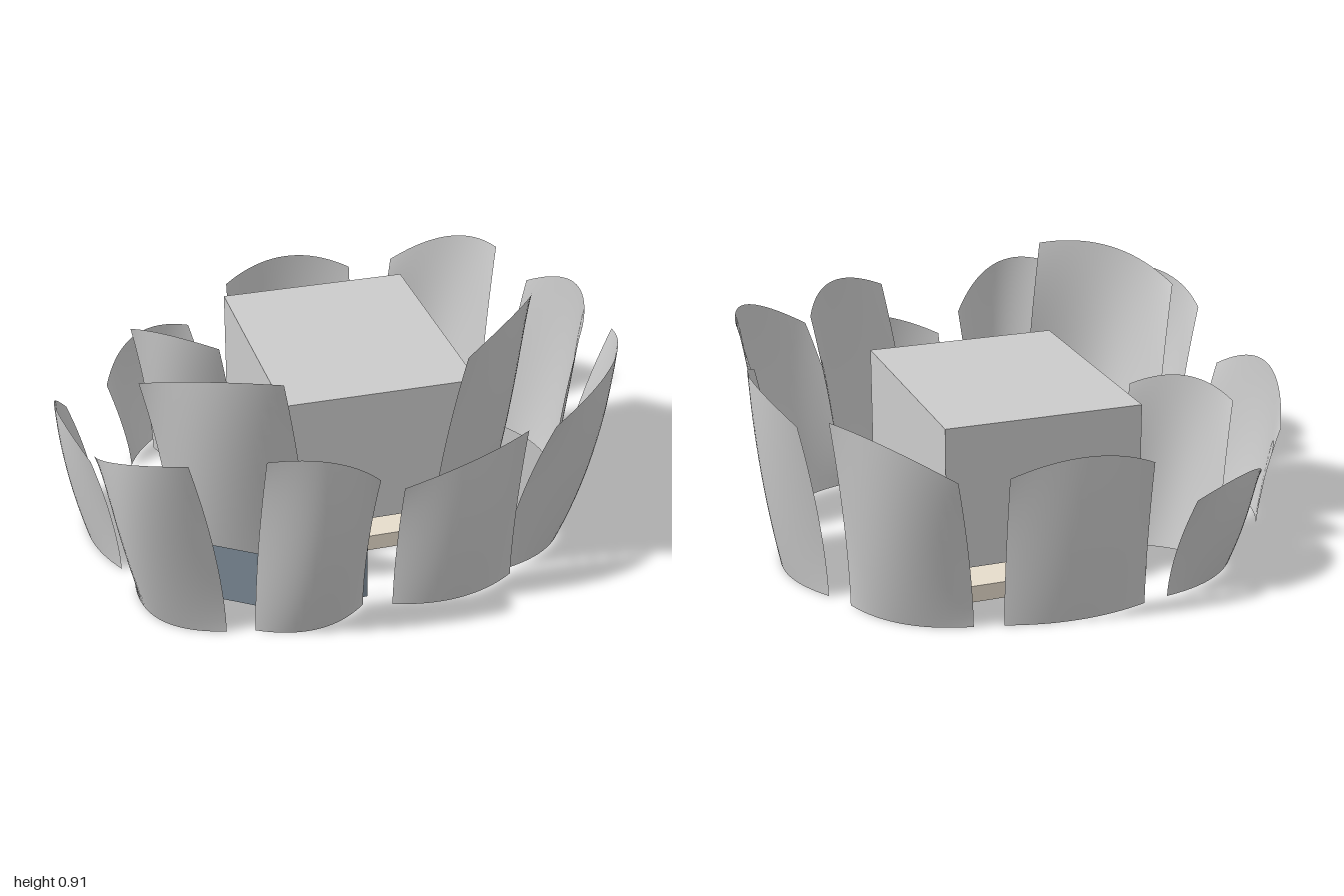
import * as THREE from 'three';
import { ParametricGeometry } from 'three/addons/geometries/ParametricGeometry.js';

const grey = new THREE.MeshStandardMaterial({ color: 0xcccccc });
const petalGrey = new THREE.MeshStandardMaterial({ color: 0xcccccc, side: THREE.DoubleSide });
const beige = new THREE.MeshStandardMaterial({ color: 0xe6dccb });
const slate = new THREE.MeshStandardMaterial({ color: 0x7d8c99, side: THREE.DoubleSide, flatShading: true });

// Value at u of the parabola through a, b, c at u = 0, 0.5, 1
const through = (a, b, c, u) =>
  a * (1 - u) * (1 - 2 * u) + b * 4 * u * (1 - u) + c * u * (2 * u - 1);

// Curved wall petal, shaped facing +z and then turned by angle (degrees) at x, z.
// Its plan is a shallow arc; the middle swells early, the side edges lean out late.
function petal(name, x, z, angle, width, bow, lean, heights) {
  const geo = new ParametricGeometry((u, t, target) => {
    const mid = 4 * u * (1 - u);
    const swell = THREE.MathUtils.lerp(t ** 1.6, t * (1.8 - 0.8 * t), mid);
    target.set(width * (u - 0.5), t * through(...heights, u), bow * mid + lean * swell);
  }, 20, 16);
  const mesh = new THREE.Mesh(geo, petalGrey);
  mesh.position.set(x, 0, z);
  mesh.rotation.y = THREE.MathUtils.degToRad(angle);
  mesh.name = name;
  return mesh;
}

function box(name, [x0, x1], [y0, y1], [z0, z1], material) {
  const mesh = new THREE.Mesh(new THREE.BoxGeometry(x1 - x0, y1 - y0, z1 - z0), material);
  mesh.position.set((x0 + x1) / 2, (y0 + y1) / 2, (z0 + z1) / 2);
  mesh.name = name;
  return mesh;
}

// Low upright wall: part of an open faceted cylinder standing on the ground
function lowWall(radius, height, x, z) {
  const start = THREE.MathUtils.degToRad(-62);
  const sweep = THREE.MathUtils.degToRad(73);
  const geo = new THREE.CylinderGeometry(radius, radius, height, 4, 1, true, start, sweep);
  const mesh = new THREE.Mesh(geo, slate);
  mesh.position.set(x, height / 2, z);
  mesh.name = 'lowWall';
  return mesh;
}

export function createModel() {
  const model = new THREE.Group();
  model.name = 'petalPavilion';

  // Hall raised just above its floor slab
  model.add(box('floorSlab', [-0.28, 0.47], [0, 0.06], [-0.6, 0.345], beige));
  model.add(box('hall', [-0.26, 0.45], [0.12, 0.635], [-0.575, 0.32], grey));

  // Bent low wall behind the front petals
  model.add(lowWall(0.62, 0.22, -0.16, 0.015));

  // Petals: name, x, z, angle, width, bow, lean, rim heights
  const petals = [
    ['frontRightPetal', -0.27, 0.69, 6.5, 0.4, 0.075, 0.142, [0.75, 0.745, 0.59]],
    ['frontLeftPetal', 0.26, 0.66, 8, 0.465, 0.06, 0.08, [0.52, 0.61, 0.635]],
    ['leftFrontCornerPetal', 0.645, 0.41, 47, 0.51, 0.094, 0.173, [0.64, 0.775, 0.78]],
    ['rightFrontCornerPetal', -0.69, 0.52, -54, 0.425, 0.091, 0.16, [0.62, 0.71, 0.735]],
    ['leftPetal', 0.83, -0.13, 93, 0.505, 0.08, 0.09, [0.68, 0.73, 0.635]],
    ['rightPetal', -0.84, -0.06, -90, 0.555, 0.075, 0.085, [0.38, 0.54, 0.46]],
    ['leftBackPetal', 0.595, -0.63, 138.6, 0.455, 0.067, 0.118, [0.705, 0.68, 0.56]],
    ['backPetal', 0.07, -0.805, 180, 0.51, 0.045, 0.06, [0.55, 0.61, 0.54]],
    ['rightBackPetal', -0.475, -0.63, -142.4, 0.49, 0.066, 0.107, [0.38, 0.415, 0.32]],
    ['innerRightFrontPetal', -0.42, 0.305, -39.8, 0.545, 0.076, 0.195, [0.78, 0.885, 0.895]],
    ['innerLeftFrontPetal', 0.445, 0.225, 45, 0.525, 0.057, 0.127, [0.83, 0.905, 0.85]],
    ['innerRightBackPetal', -0.42, -0.455, -44, 0.39, 0.056, 0.114, [0.58, 0.63, 0.59]],
  ];
  for (const spec of petals) model.add(petal(...spec));

  return model;
}
